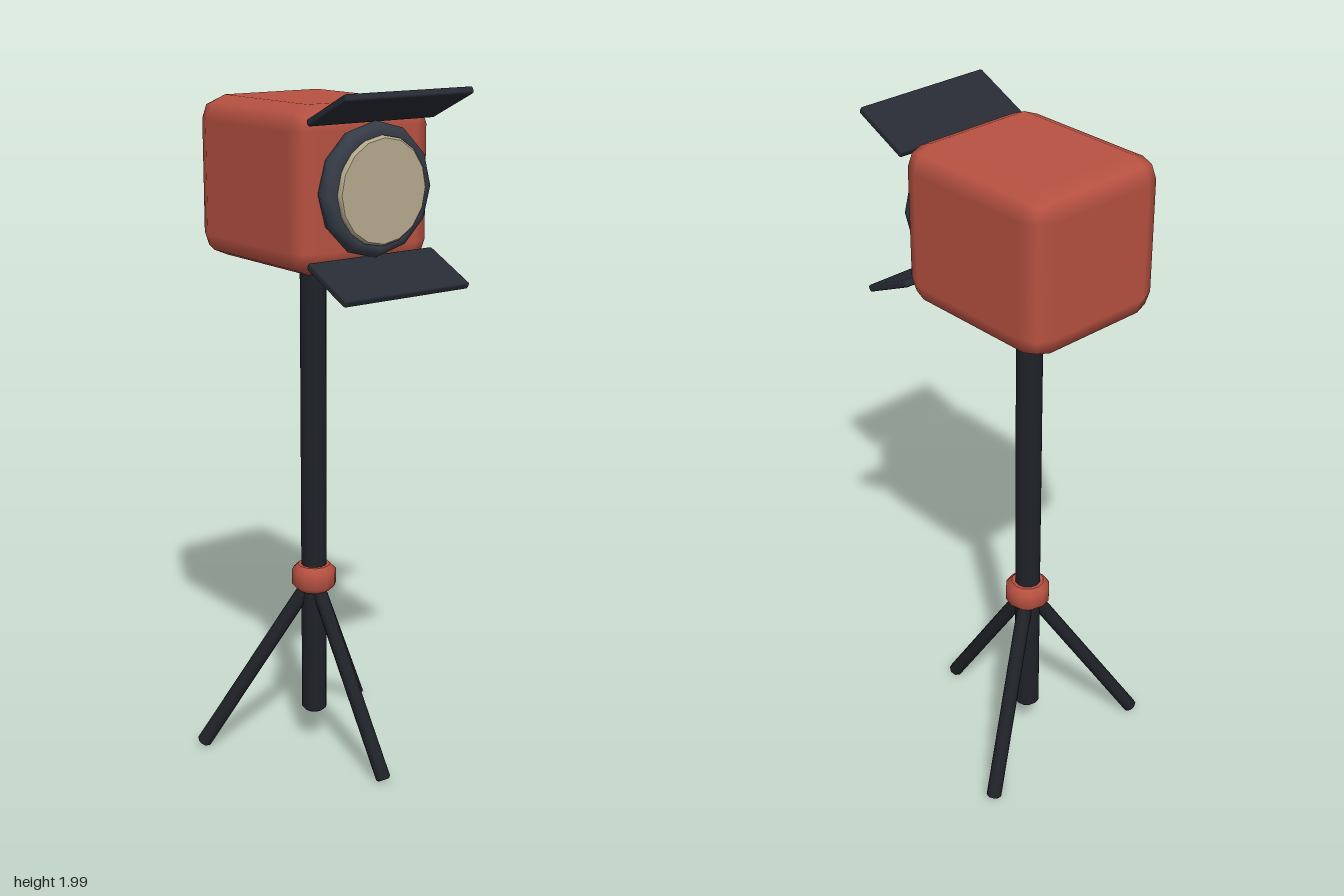
import * as THREE from 'three';
import { RoundedBoxGeometry } from 'three/addons/geometries/RoundedBoxGeometry.js';

const paint = (color) => new THREE.MeshStandardMaterial({ color });
const RED = paint(0xb85242);
const BLACK = paint(0x1f2228);
const FLAP = paint(0x272b34);
const RING = paint(0x363c47);
const GLASS = paint(0xb8ab90);

// Solid round bar along y, centred, with chamfered ends.
function bar(radius, length, bevel, sides) {
  const h = length / 2;
  const profile = [
    [0, -h], [radius - bevel, -h], [radius - bevel, -h], [radius, -h + bevel],
    [radius, h - bevel], [radius - bevel, h], [radius - bevel, h], [0, h],
  ].map(([x, y]) => new THREE.Vector2(x, y));
  return new THREE.LatheGeometry(profile, sides);
}

export function createModel() {
  const model = new THREE.Group();
  model.name = 'studioLamp';
  const poleX = -0.085;
  const lampY = 1.73;

  function add(name, geometry, material, x, y, z = 0) {
    const mesh = new THREE.Mesh(geometry, material);
    mesh.name = name;
    mesh.position.set(x, y, z);
    model.add(mesh);
    return mesh;
  }

  // Stand: pole and collar
  add('pole', bar(0.038, 1.43, 0.01, 12), BLACK, poleX, 0.825);
  add('collar', bar(0.066, 0.08, 0.018, 12), RED, poleX, 0.545);

  // Three splayed legs
  const hub = new THREE.Vector3(poleX, 0.545, 0);
  const up = new THREE.Vector3(0, 1, 0);
  for (let i = 0; i < 3; i++) {
    const a = (i * Math.PI * 2) / 3;
    const foot = new THREE.Vector3(poleX + 0.343 * Math.cos(a), 0.013, 0.343 * Math.sin(a));
    const along = hub.clone().sub(foot);
    const middle = hub.clone().add(foot).multiplyScalar(0.5);
    const leg = add('leg' + (i + 1), bar(0.022, along.length(), 0.006, 8), BLACK, middle.x, middle.y, middle.z);
    leg.quaternion.setFromUnitVectors(up, along.normalize());
  }

  // Lamp housing
  add('housing', new RoundedBoxGeometry(0.522, 0.45, 0.45, 1, 0.066), RED, poleX, lampY);

  // Lens and its ring, facing +x
  const ring = add('lensRing', new THREE.TorusGeometry(0.152, 0.03, 8, 12), RING, 0.195, lampY);
  ring.rotation.y = Math.PI / 2;
  const lens = add('lens', bar(0.146, 0.07, 0.006, 16), GLASS, 0.2, lampY);
  lens.rotation.z = -Math.PI / 2;

  // Upper and lower barn doors
  for (const side of [1, -1]) {
    const door = add(side > 0 ? 'upperBarnDoor' : 'lowerBarnDoor',
      new RoundedBoxGeometry(0.182, 0.02, 0.422, 1, 0.006), FLAP, 0.259, lampY + side * 0.2225);
    door.rotation.z = side * 0.436;
  }

  return model;
}
